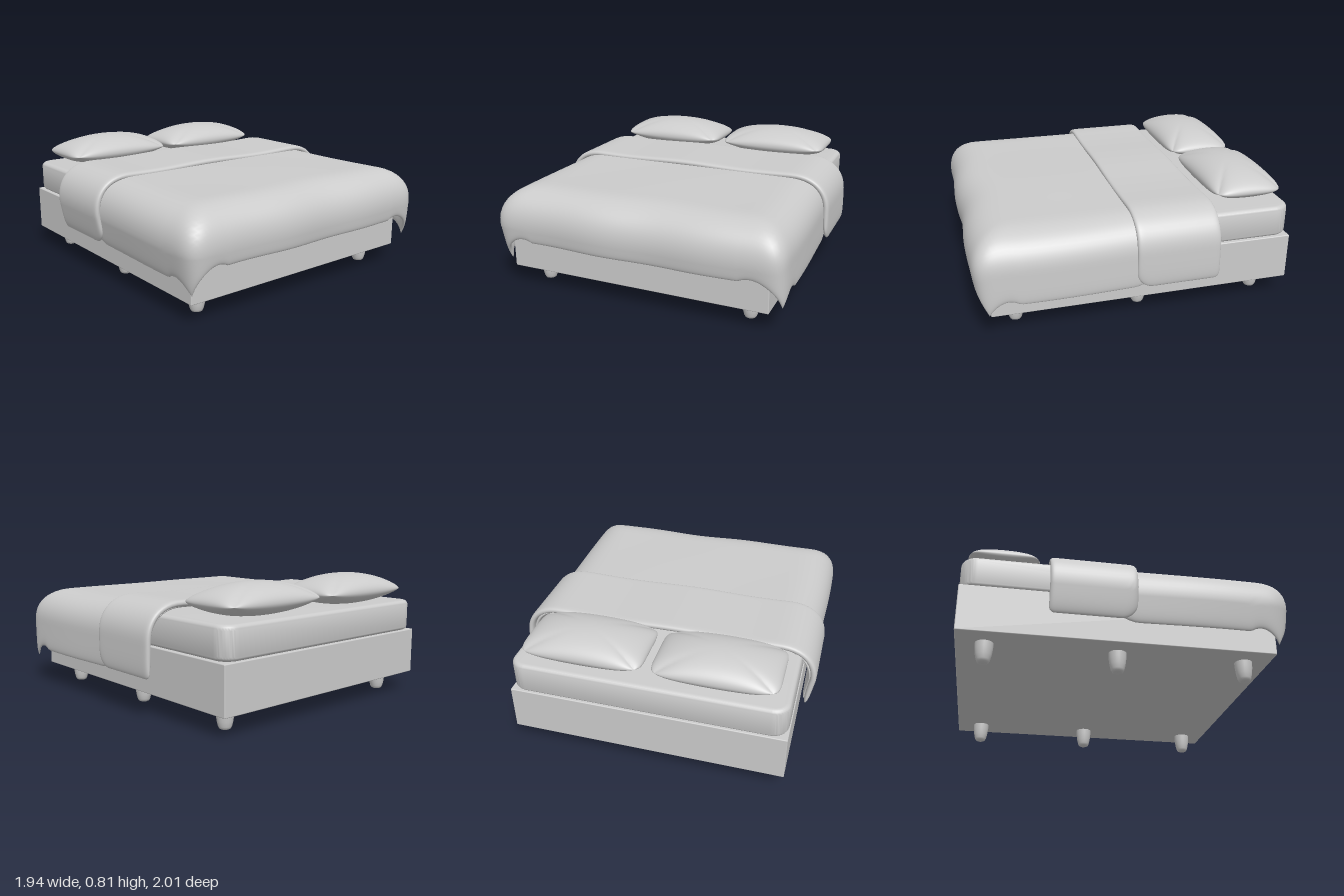
import * as THREE from 'three';
import { mergeVertices, toCreasedNormals } from 'three/addons/utils/BufferGeometryUtils.js';
import { RoundedBoxGeometry } from 'three/addons/geometries/RoundedBoxGeometry.js';

const grey = new THREE.MeshStandardMaterial({ color: 0xcccccc });
const cloth = new THREE.MeshStandardMaterial({ color: 0xcccccc, side: THREE.DoubleSide });
const CX = -0.015; // middle of the bed frame

function add(parent, name, geometry, x = 0, y = 0, z = 0, material = grey) {
  const mesh = new THREE.Mesh(geometry, material);
  mesh.name = name;
  mesh.position.set(x, y, z);
  parent.add(mesh);
  return mesh;
}

// Closed shell: upper and lower grids over u, v in -1..1, stitched around the rim.
// surface(u, v, side) gives the point on the upper (+1) or lower (-1) skin.
function shell(nu, nv, surface) {
  const pos = [], index = [];
  const ease = (i, n) => Math.sin((i / n - 0.5) * Math.PI); // finer near the rim
  const count = (nu + 1) * (nv + 1);
  const id = (i, j, lower) => lower * count + j * (nu + 1) + i;
  for (const side of [1, -1])
    for (let j = 0; j <= nv; j++)
      for (let i = 0; i <= nu; i++) pos.push(...surface(ease(i, nu), ease(j, nv), side).toArray());
  const quad = (a, b, c, d) => index.push(a, b, c, a, c, d);
  for (let j = 0; j < nv; j++)
    for (let i = 0; i < nu; i++) {
      quad(id(i, j, 0), id(i, j + 1, 0), id(i + 1, j + 1, 0), id(i + 1, j, 0));
      quad(id(i, j, 1), id(i + 1, j, 1), id(i + 1, j + 1, 1), id(i, j + 1, 1));
    }
  for (let i = 0; i < nu; i++) {
    quad(id(i, 0, 0), id(i + 1, 0, 0), id(i + 1, 0, 1), id(i, 0, 1));
    quad(id(i + 1, nv, 0), id(i, nv, 0), id(i, nv, 1), id(i + 1, nv, 1));
  }
  for (let j = 0; j < nv; j++) {
    quad(id(0, j + 1, 0), id(0, j, 0), id(0, j, 1), id(0, j + 1, 1));
    quad(id(nu, j, 0), id(nu, j + 1, 0), id(nu, j + 1, 1), id(nu, j, 1));
  }
  const g = new THREE.BufferGeometry();
  g.setAttribute('position', new THREE.Float32BufferAttribute(pos, 3));
  g.setIndex(index);
  const merged = mergeVertices(g, 1e-5);
  merged.computeVertexNormals();
  return merged;
}

// Thickens a middle surface along its normal, with rounded rims.
function thicken(mid, half, power) {
  return (u, v, side) => {
    const e = 0.002;
    const du = mid(u + e, v).sub(mid(u - e, v));
    const dv = mid(u, v + e).sub(mid(u, v - e));
    const n = dv.cross(du).normalize();
    const taper = Math.sqrt(Math.max(0, (1 - Math.abs(u) ** power) * (1 - Math.abs(v) ** power)));
    return mid(u, v).addScaledVector(n, side * half * taper);
  };
}

// Hangs the cloth point (a, b) over a flat core with rounded shoulders.
const SHOULDER = 0.36;
function drape(a, b, coreX, coreZ, top, shrink = 1) {
  const ex = Math.max(0, Math.abs(a) - coreX), ez = Math.max(0, b - coreZ);
  const sx = Math.sign(a);
  const x = sx * Math.min(Math.abs(a), coreX), z = Math.min(b, coreZ);
  const len = Math.hypot(ex, ez);
  if (len < 1e-6) return new THREE.Vector3(x, top, z);
  const s = len * shrink * (1 - 0.15 * (2 * ex * ez) / (len * len));
  const norm = Math.pow(ex ** 6 + ez ** 6, 1 / 6);
  const t = Math.min(1, s / SHOULDER) * Math.PI / 2, fall = Math.max(0, s - SHOULDER);
  const out = 0.25 * Math.pow(Math.sin(t), 0.85);
  const y = top - 0.22 * (1 - Math.pow(Math.max(0, Math.cos(t)), 0.85)) - fall;
  const lean = sx > 0 ? 0.03 : -0.17;
  return new THREE.Vector3(
    x + sx * (ex / norm) * (out + lean * fall), y, z + (ez / norm) * (out - 0.1 * fall));
}

function blanketGeometry() {
  const mid = (u, v) => {
    const a = u * 1.225, b = 0.3725 + v * 0.8225;
    const p = drape(a, b, 0.68, 0.735, 0.655, 1 - 0.07 * THREE.MathUtils.smoothstep(-b, -0.05, 0.1));
    // soft waves on top, at the foot and along the sides
    const foot = THREE.MathUtils.smoothstep(p.z, 0.6, 0.95);
    p.y += 0.005 * Math.sin(p.x * 5 + 1) * Math.sin(p.z * 4);
    p.z += foot * 0.01 * Math.cos((p.x + 0.25) * 8) * Math.exp(-p.x * p.x * 2);
    p.x += 0.008 * Math.sin(p.z * 4 - 1) * THREE.MathUtils.smoothstep(Math.abs(p.x), 0.7, 0.95) * Math.sign(p.x);
    return p;
  };
  return shell(96, 72, thicken(mid, 0.014, 40));
}

// Turned-back band of the blanket
function foldGeometry() {
  const mid = (u, v) => {
    const b = -0.22 + v * 0.26;
    // rounded lower corners, larger towards the foot
    const r = v > 0 ? 0.1 : 0.035;
    const k = THREE.MathUtils.clamp((Math.abs(v) * 0.26 - 0.26 + r) / r, 0, 1);
    const hang = 0.56 - r * (1 - Math.sqrt(1 - k * k));
    const c = u * 1.26, flat = 0.7;
    const over = Math.max(0, Math.abs(c) - flat);
    const a = Math.sign(c) * (Math.min(Math.abs(c), flat) + over * hang / 0.56);
    const p = drape(a, b, flat, 5, 0.675);
    p.y += 0.005 * Math.sin(p.x * 7 + 2);
    return p;
  };
  return shell(96, 40, thicken(mid, 0.02, 24));
}

function pillowGeometry() {
  return shell(48, 36, (u, v, side) => {
    const m = Math.max(Math.abs(u), Math.abs(v));
    const k = m < 1e-6 ? 1 : m / Math.pow(Math.abs(u) ** 7 + Math.abs(v) ** 7, 1 / 7);
    const h = Math.sqrt(Math.max(0, (1 - u * u) * (1 - v * v)));
    return new THREE.Vector3(u * k * 0.38, side * h * (side > 0 ? 0.11 : 0.09), v * k * 0.225);
  });
}

function mattressGeometry(w, d, h, r, bevel) {
  const x = w / 2 - bevel, y = d / 2 - bevel;
  const s = new THREE.Shape();
  s.moveTo(-x + r, -y);
  s.lineTo(x - r, -y).absarc(x - r, -y + r, r, -Math.PI / 2, 0);
  s.lineTo(x, y - r).absarc(x - r, y - r, r, 0, Math.PI / 2);
  s.lineTo(-x + r, y).absarc(-x + r, y - r, r, Math.PI / 2, Math.PI);
  s.lineTo(-x, -y + r).absarc(-x + r, -y + r, r, Math.PI, Math.PI * 1.5);
  const g = new THREE.ExtrudeGeometry(s, {
    depth: h - 2 * bevel, bevelThickness: bevel, bevelSize: bevel, bevelSegments: 5, curveSegments: 10 });
  g.translate(0, 0, bevel).rotateX(-Math.PI / 2);
  return toCreasedNormals(g, 0.6);
}

export function createModel() {
  const bed = new THREE.Group();
  bed.name = 'bed';

  // Frame and mattress
  add(bed, 'bedBase', new RoundedBoxGeometry(1.72, 0.295, 1.9, 2, 0.006), CX, 0.2725, -0.05);
  add(bed, 'mattress', mattressGeometry(1.71, 1.87, 0.2, 0.07, 0.03), CX, 0.42, -0.065);

  // Six tapered feet
  const profile = [[0, 0], [0.022, 0], [0.034, 0.006], [0.041, 0.02], [0.048, 0.05], [0.053, 0.09], [0.055, 0.13]]
    .map(([x, y]) => new THREE.Vector2(x, y));
  const footGeometry = new THREE.LatheGeometry(profile, 24);
  for (const x of [-0.705, 0.705])
    for (const z of [0.74, -0.045, -0.83]) add(bed, 'foot', footGeometry, CX + x, 0, z);

  // Bedding
  add(bed, 'blanket', blanketGeometry(), 0, 0, 0, cloth);
  add(bed, 'blanketFold', foldGeometry(), 0, 0, 0, cloth);
  const pillow = pillowGeometry();
  for (const x of [-0.405, 0.405]) add(bed, 'pillow', pillow, CX + x, 0.703, -0.747);
  return bed;
}
